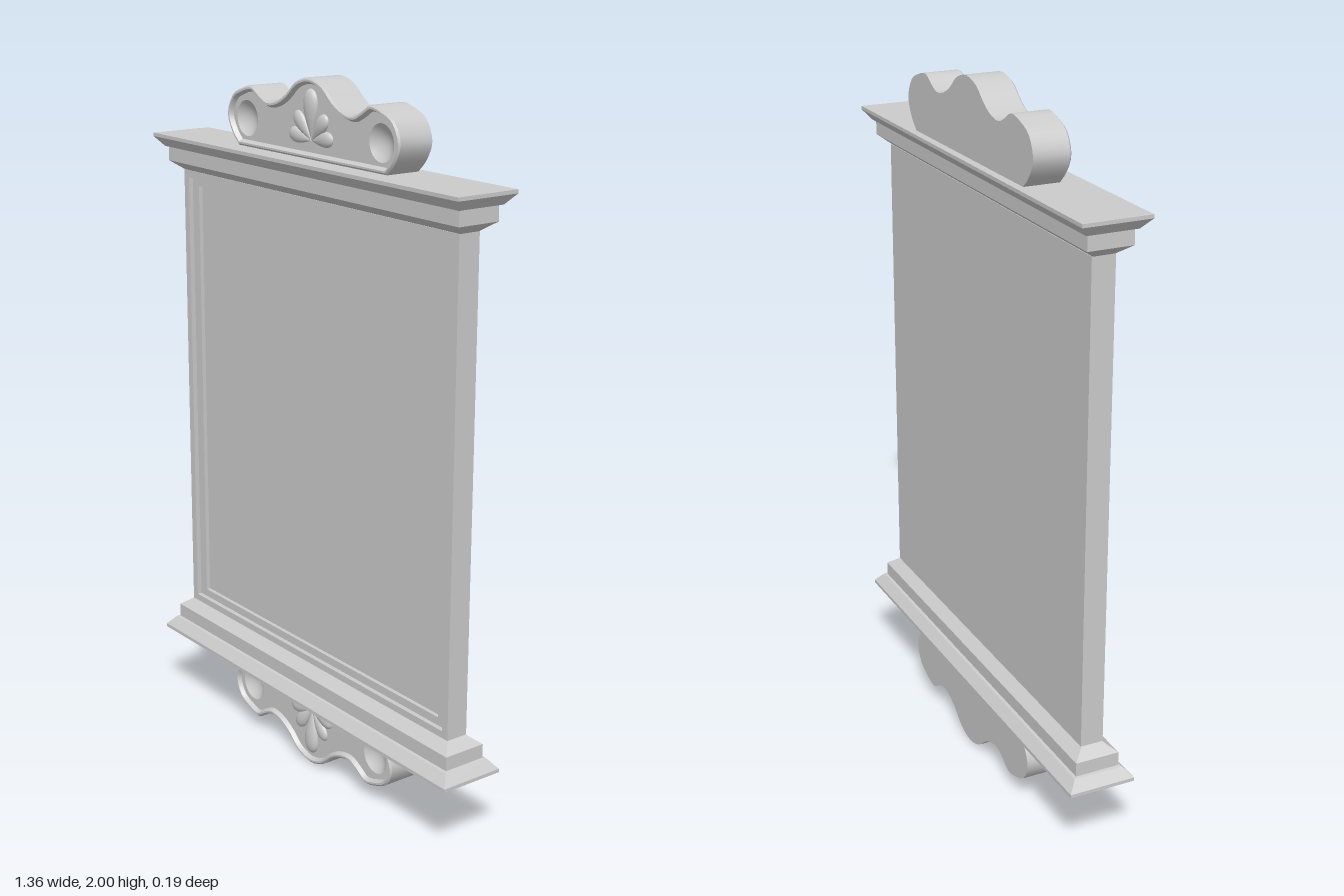
import * as THREE from 'three';
import { mergeVertices, toCreasedNormals } from 'three/addons/utils/BufferGeometryUtils.js';

const material = new THREE.MeshStandardMaterial({ color: 0xcccccc });
const V2 = (x, y) => new THREE.Vector2(x, y);

function add(parent, name, geometry) {
  const mesh = new THREE.Mesh(geometry, material);
  mesh.name = name;
  parent.add(mesh);
  return mesh;
}

// Skin closed loops of [x, y, z] points; optional fan caps for convex ends.
function loft(loops, capped, crease = 0.5) {
  const pos = [];
  const tri = (a, b, c) => pos.push(...a, ...b, ...c);
  for (let k = 0; k + 1 < loops.length; k++) {
    const a = loops[k], b = loops[k + 1], n = a.length;
    for (let i = 0; i < n; i++) {
      const j = (i + 1) % n;
      tri(a[i], a[j], b[j]);
      tri(a[i], b[j], b[i]);
    }
  }
  if (capped) {
    const a = loops[0], b = loops[loops.length - 1];
    for (let i = 1; i + 1 < a.length; i++) {
      tri(a[0], a[i + 1], a[i]);
      tri(b[0], b[i], b[i + 1]);
    }
  }
  const g = new THREE.BufferGeometry();
  g.setAttribute('position', new THREE.Float32BufferAttribute(pos, 3));
  return toCreasedNormals(mergeVertices(g), crease);
}

// Move a counter-clockwise outline inward by d, with mitred corners.
function inset(points, d) {
  const n = points.length;
  return points.map((p, i) => {
    const u = p.clone().sub(points[(i + n - 1) % n]).normalize();
    const v = points[(i + 1) % n].clone().sub(p).normalize();
    const m = V2(-u.y - v.y, u.x + v.x).normalize();
    const cos = Math.max(0.5, m.dot(V2(-v.y, v.x)));
    return p.clone().addScaledVector(m, d / cos);
  });
}

// Flat rectangular ring, measured from the panel centre at y = 1.005.
function rectRing(ox, oy, ix, iy, z0, z1) {
  const corners = (x, y) => [V2(-x, -y), V2(x, -y), V2(x, y), V2(-x, y)];
  const shape = new THREE.Shape(corners(ox, oy));
  shape.holes.push(new THREE.Path(corners(ix, iy).reverse()));
  return new THREE.ExtrudeGeometry(shape, { depth: z1 - z0, bevelEnabled: false }).translate(0, 1.0, z0);
}

// Stepped moulding running round all four sides.
function corniceGeometry() {
  const profile = [[0, 1.68], [0.033, 1.705], [0.033, 1.745], [0.041, 1.747], [0.065, 1.775], [0.065, 1.785]];
  const loops = profile.map(([d, y]) => {
    const x = 0.615 + d, z = 0.031 + d;
    return [[x, y, z], [x, y, -z], [-x, y, -z], [-x, y, z]];
  });
  return loft(loops, true, 0.2);
}

// Teardrop leaf with its point at the origin, growing along +y.
function petalGeometry(length, width) {
  const profile = [];
  for (let i = 0; i <= 14; i++) {
    const a = Math.PI * i / 14, t = (1 - Math.cos(a)) / 2;
    profile.push(V2(i % 14 ? width * 0.65 * Math.sin(a) * Math.pow(t, 0.7) : 0, t * length));
  }
  return new THREE.LatheGeometry(profile, 20).scale(1, 1, 0.55);
}

function createCrest() {
  const crest = new THREE.Group();
  const half = [[0.33, 1.785], [0.362, 1.818], [0.383, 1.868], [0.358, 1.922], [0.315, 1.944], [0.262, 1.955],
    [0.225, 1.935], [0.19, 1.92], [0.145, 1.927], [0.105, 1.948], [0.06, 1.984]];
  const all = [...half, [0, 2], ...half.slice().reverse().map(([x, y]) => [-x, y])];
  const curve = new THREE.CatmullRomCurve3(all.map(([x, y]) => new THREE.Vector3(x, y, 0)));
  const outline = curve.getPoints(66).map(p => V2(p.x, p.y));

  // Scalloped wall, narrow raised lip and inner slope.
  const steps = [[0, -0.073], [0, 0.03], [0.005, 0.035], [0.01, 0.035], [0.017, 0.023]];
  const loops = steps.map(([d, z]) => inset(outline, d).map(p => [p.x, p.y, z]));
  add(crest, 'crestRim', loft(loops, false));
  add(crest, 'crestBack', new THREE.ShapeGeometry(new THREE.Shape(outline)).rotateY(Math.PI).translate(0, 0, -0.073));

  // Recessed face with two round hollows.
  const face = new THREE.Shape(inset(outline, 0.017));
  for (const s of [-1, 1]) {
    face.holes.push(new THREE.Path().absarc(s * 0.298, 1.862, 0.05, 0, Math.PI * 2, true));
    const bowl = [];
    for (let i = 0; i <= 8; i++) bowl.push(V2(0.05 * i / 8, -0.022 * (1 - (i / 8) ** 2)));
    const dish = add(crest, 'roundHollow', new THREE.LatheGeometry(bowl, 32).rotateX(Math.PI / 2));
    dish.position.set(s * 0.298, 1.862, 0.023);
    dish.material = material.clone();
    dish.material.side = THREE.DoubleSide;
  }
  add(crest, 'crestFace', new THREE.ShapeGeometry(face, 16).translate(0, 0, 0.023));

  // Fan of five leaves.
  const fan = new THREE.Group();
  fan.name = 'leafFan';
  fan.position.set(0, 1.833, 0.023);
  for (const [angle, length, width] of [[0, 0.138, 0.062], [0.78, 0.1, 0.047], [-0.78, 0.1, 0.047],
    [1.42, 0.097, 0.045], [-1.42, 0.097, 0.045]]) {
    add(fan, 'leaf', petalGeometry(length, width)).rotation.z = angle;
  }
  crest.add(fan);
  return crest;
}

export function createModel() {
  const model = new THREE.Group();
  model.name = 'wallPlaque';

  // Panel with a two-step frame.
  add(model, 'backPanel', new THREE.BoxGeometry(1.23, 1.36, 0.04).translate(0, 1.0, -0.013));
  add(model, 'innerFrame', rectRing(0.592, 0.66, 0.56, 0.637, 0.007, 0.019));
  add(model, 'outerFrame', rectRing(0.615, 0.68, 0.592, 0.66, 0.007, 0.033));

  // The same cornice and crest, turned half a circle for the lower end.
  for (const end of ['top', 'bottom']) {
    const group = new THREE.Group();
    group.name = end + 'End';
    add(group, end + 'Cornice', corniceGeometry());
    const crest = createCrest();
    crest.name = end + 'Crest';
    group.add(crest);
    if (end === 'bottom') {
      group.rotation.z = Math.PI;
      group.position.y = 2;
    }
    model.add(group);
  }
  return model;
}
